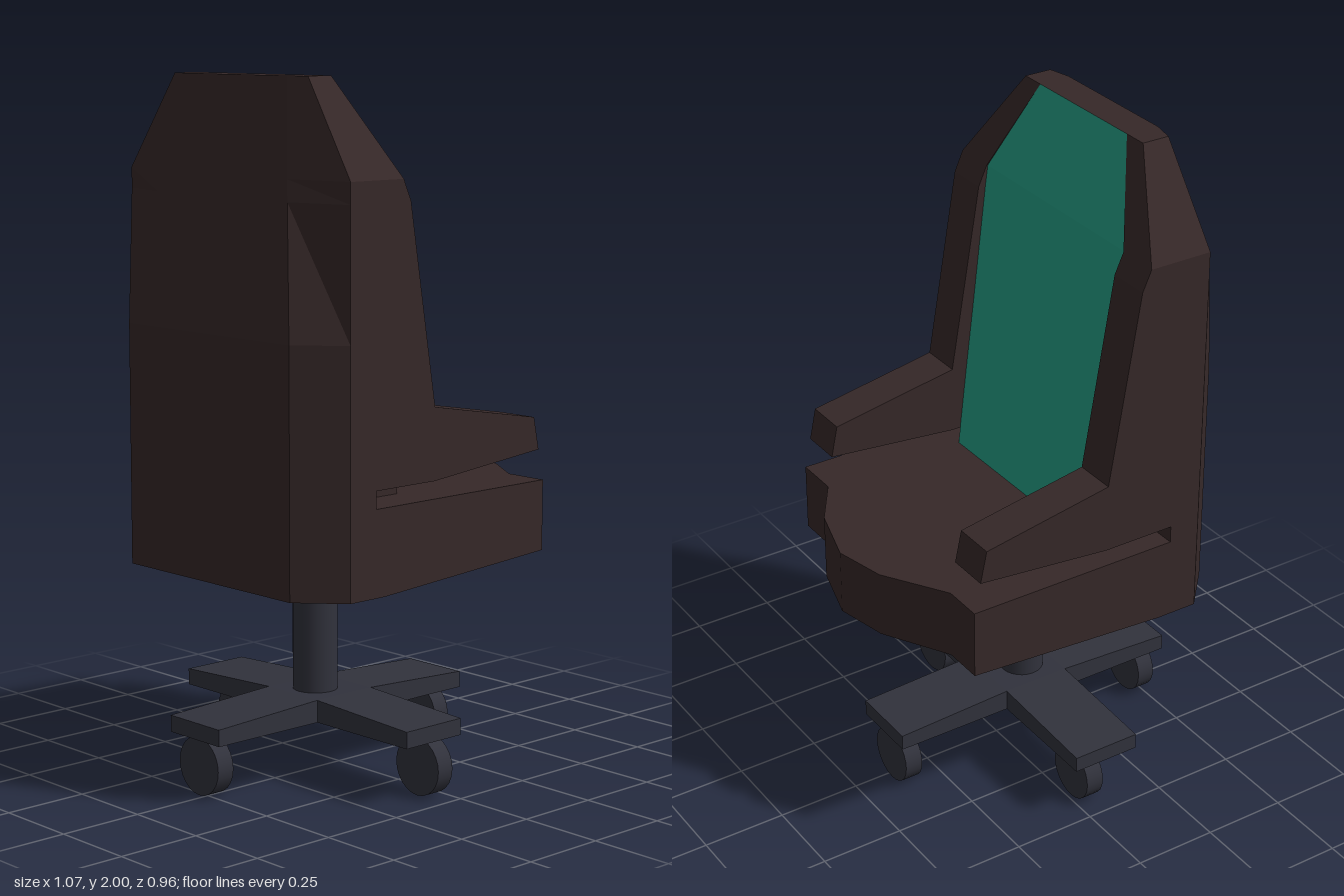
import * as THREE from 'three';

const upholstery = new THREE.MeshStandardMaterial({ color: 0x362828 });
upholstery.name = 'dark brown upholstery';
const cushion = new THREE.MeshStandardMaterial({ color: 0x259e85 });
cushion.name = 'teal cushion';
const metal = new THREE.MeshStandardMaterial({ color: 0x31323c });
metal.name = 'dark grey metal';

const MID_Z = -0.02;

function addMesh(parent, name, geometry, material, x = 0, y = 0, z = 0) {
  const mesh = new THREE.Mesh(geometry, material);
  mesh.name = name;
  mesh.position.set(x, y, z);
  parent.add(mesh);
  return mesh;
}

// Flat slab from a plan outline of [x, z] points, with heights set by a rule
function slab(outline, bottomAt, topAt) {
  const shape = new THREE.Shape(outline.map(([x, z]) => new THREE.Vector2(x, -z)));
  const geo = new THREE.ExtrudeGeometry(shape, { depth: 1, bevelEnabled: false });
  geo.rotateX(-Math.PI / 2);
  const p = geo.attributes.position;
  for (let i = 0; i < p.count; i++) {
    const x = p.getX(i), z = p.getZ(i);
    p.setY(i, p.getY(i) > 0.5 ? topAt(x, z) : bottomAt(x, z));
  }
  geo.computeVertexNormals();
  return geo;
}

// Flat-shaded geometry from a list of triangle corners
function facets(corners) {
  const geo = new THREE.BufferGeometry().setFromPoints(corners);
  geo.computeVertexNormals();
  return geo;
}

// Backrest levels: height, back x, back half width, side x, outer half width,
// wing front x, cushion x, cushion half width
const LEVELS = [
  [0.85, -0.475, 0.34, -0.365, 0.46, -0.27, -0.07, 0.333],
  [0.90, -0.475, 0.34, -0.365, 0.46, -0.27, -0.076, 0.333],
  [0.90, -0.475, 0.34, -0.365, 0.46, -0.05, -0.076, 0.333],
  [1.105, -0.475, 0.34, -0.365, 0.46, -0.05, -0.1, 0.333],
  [1.30, -0.475, 0.34, -0.365, 0.46, -0.083, -0.124, 0.333],
  [1.67, -0.418, 0.271, -0.365, 0.46, -0.145, -0.168, 0.333],
  [1.73, -0.409, 0.26, -0.365, 0.46, -0.172, -0.176, 0.333],
  [2.00, -0.365, 0.21, -0.35, 0.278, -0.267, -0.267, 0.205],
];

function backrest() {
  const loops = LEVELS.map(([y, xb, zb, xs, zo, xf, xp, zi]) => {
    const half = [[xb, zb], [xs, zo], [xf, zo], [xf, zi], [xp, zi]];
    const right = half.map(([x, z]) => new THREE.Vector3(x, y, -z));
    const left = half.map(([x, z]) => new THREE.Vector3(x, y, z)).reverse();
    return [...right, ...left];
  });
  const shell = [], panel = [];
  const n = loops[0].length;
  for (let k = 0; k + 1 < loops.length; k++) {
    for (let i = 0; i < n; i++) {
      const j = (i + 1) % n;
      const a = loops[k][i], b = loops[k][j], c = loops[k + 1][j], d = loops[k + 1][i];
      (i === 4 ? panel : shell).push(a, d, c, a, c, b);
    }
  }
  const top = loops[loops.length - 1];
  for (let i = 1; i + 1 < n; i++) shell.push(top[0], top[i + 1], top[i]);
  return { shell: facets(shell), panel: facets(panel) };
}

export function createModel() {
  const chair = new THREE.Group();
  chair.name = 'officeChair';

  // Seat with a pointed front and an underside rising towards the front
  const seatOutline = [
    [-0.475, -0.36], [-0.365, -0.48], [-0.24, -0.48], [0.385, -0.48], [0.385, -0.36],
    [0.5, -0.175], [0.535, -0.02], [0.48, 0.165], [0.385, 0.307],
    [0.385, 0.44], [-0.24, 0.44], [-0.365, 0.44], [-0.475, 0.32],
  ];
  const underside = (x) => 0.605 + 0.05 * Math.max(0, (x + 0.24) / 0.775);
  addMesh(chair, 'seat', slab(seatOutline, underside, () => 0.85), upholstery);

  // Winged backrest with its inset cushion
  const back = backrest();
  addMesh(chair, 'backrest', back.shell, upholstery, 0, 0, MID_Z);
  addMesh(chair, 'backCushion', back.panel, cushion, 0, 0, MID_Z);

  // Armrests growing out of the wings
  const armProfile = [[-0.12, 0.9], [-0.05, 0.9], [0.365, 0.94], [0.345, 1.035], [-0.05, 1.105], [-0.12, 1.105]];
  const armShape = new THREE.Shape(armProfile.map(([x, y]) => new THREE.Vector2(x, y)));
  const armGeo = new THREE.ExtrudeGeometry(armShape, { depth: 0.127, bevelEnabled: false });
  addMesh(chair, 'leftArmrest', armGeo, upholstery, 0, 0, MID_Z + 0.333);
  addMesh(chair, 'rightArmrest', armGeo, upholstery, 0, 0, MID_Z - 0.46);

  // Column
  addMesh(chair, 'column', new THREE.CylinderGeometry(0.065, 0.065, 0.5, 24), metal, -0.08, 0.415, -0.015);

  // Cross-shaped foot, thinning slightly towards its ends
  const w = 0.105, r = 0.47;
  const cross = [
    [-w, -r], [w, -r], [w, -w], [r, -w], [r, w], [w, w],
    [w, r], [-w, r], [-w, w], [-r, w], [-r, -w], [-w, -w],
  ];
  const crossTop = (x, z) => 0.235 - 0.017 * (Math.max(Math.abs(x), Math.abs(z)) - w) / (r - w);
  addMesh(chair, 'foot', slab(cross, () => 0.17, crossTop), metal, -0.067, 0, -0.01);

  // Casters, all rolling the same way
  const wheelGeo = new THREE.CylinderGeometry(0.084, 0.084, 0.055, 24);
  wheelGeo.rotateZ(Math.PI / 2);
  for (const [x, z] of [[-0.487, -0.02], [0.358, -0.02], [-0.04, 0.395], [-0.04, -0.382]]) {
    addMesh(chair, 'caster', wheelGeo, metal, x, 0.086, z);
  }

  return chair;
}
